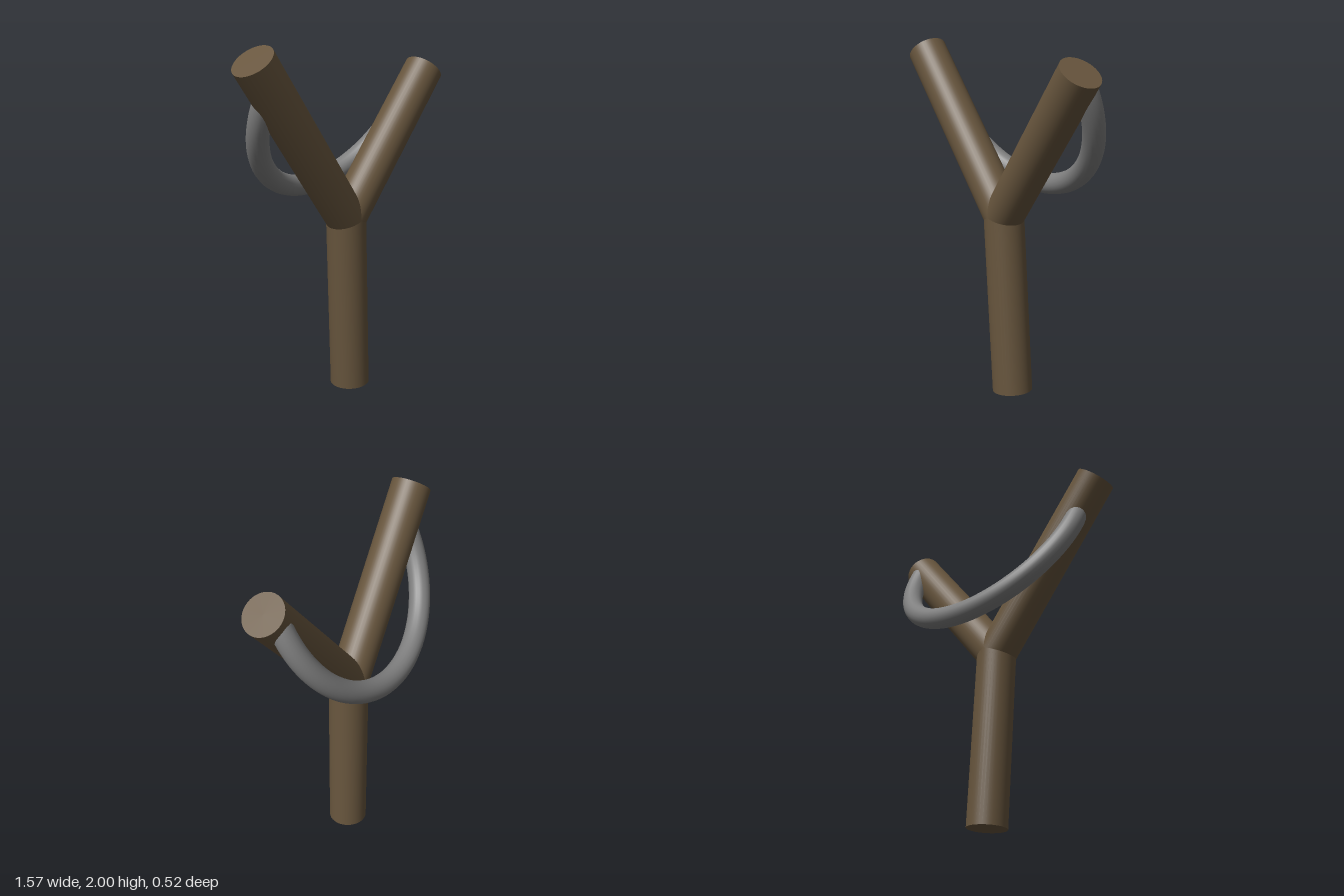
import * as THREE from 'three';

const RADIUS = 0.114;

// Closed round branch running from point a to point b
function branch(name, a, b, material) {
  const dir = new THREE.Vector3().subVectors(b, a);
  const mesh = new THREE.Mesh(new THREE.CylinderGeometry(RADIUS, RADIUS, dir.length(), 40), material);
  mesh.name = name;
  mesh.position.addVectors(a, b).multiplyScalar(0.5);
  mesh.quaternion.setFromUnitVectors(new THREE.Vector3(0, 1, 0), dir.normalize());
  return mesh;
}

export function createModel() {
  const wood = new THREE.MeshStandardMaterial({ color: 0x67553d });
  wood.name = 'brown wood';
  const rubber = new THREE.MeshStandardMaterial({ color: 0x7f7f7f });
  rubber.name = 'grey rubber';

  const model = new THREE.Group();
  model.name = 'slingshot';

  // Forked stick: handle and two arms meeting at one joint
  const joint = new THREE.Vector3(0.025, 1.023, 0.094);
  model.add(
    branch('handle', new THREE.Vector3(0.084, 0.007, 0.08), joint, wood),
    branch('rightArm', joint, new THREE.Vector3(-0.703, 1.93, 0.103), wood),
    branch('leftArm', joint, new THREE.Vector3(0.687, 1.825, 0.148), wood)
  );
  const knot = new THREE.Mesh(new THREE.SphereGeometry(RADIUS, 40, 24), wood);
  knot.name = 'forkJoint';
  knot.position.copy(joint);
  model.add(knot);

  // Elastic band: half ring hanging back from the arm tips, ends sunk in the wood
  const ring = new THREE.TorusGeometry(0.62, 0.061, 20, 72, Math.PI + 0.04);
  ring.rotateZ(Math.PI);
  const band = new THREE.Mesh(ring, rubber);
  band.name = 'elasticBand';
  band.position.set(0.03, 1.736, 0.073);
  band.rotation.x = 0.458;
  model.add(band);

  // Flat ends closing the band
  for (const [name, angle, turn] of [['bandEndRight', Math.PI, Math.PI / 2], ['bandEndLeft', 0.04, Math.PI / 2]]) {
    const end = new THREE.Mesh(new THREE.CircleGeometry(0.061, 20), rubber);
    end.name = name;
    end.geometry.rotateX(-turn);
    end.position.set(0.62 * Math.cos(angle), 0.62 * Math.sin(angle), 0);
    band.add(end);
  }

  return model;
}
